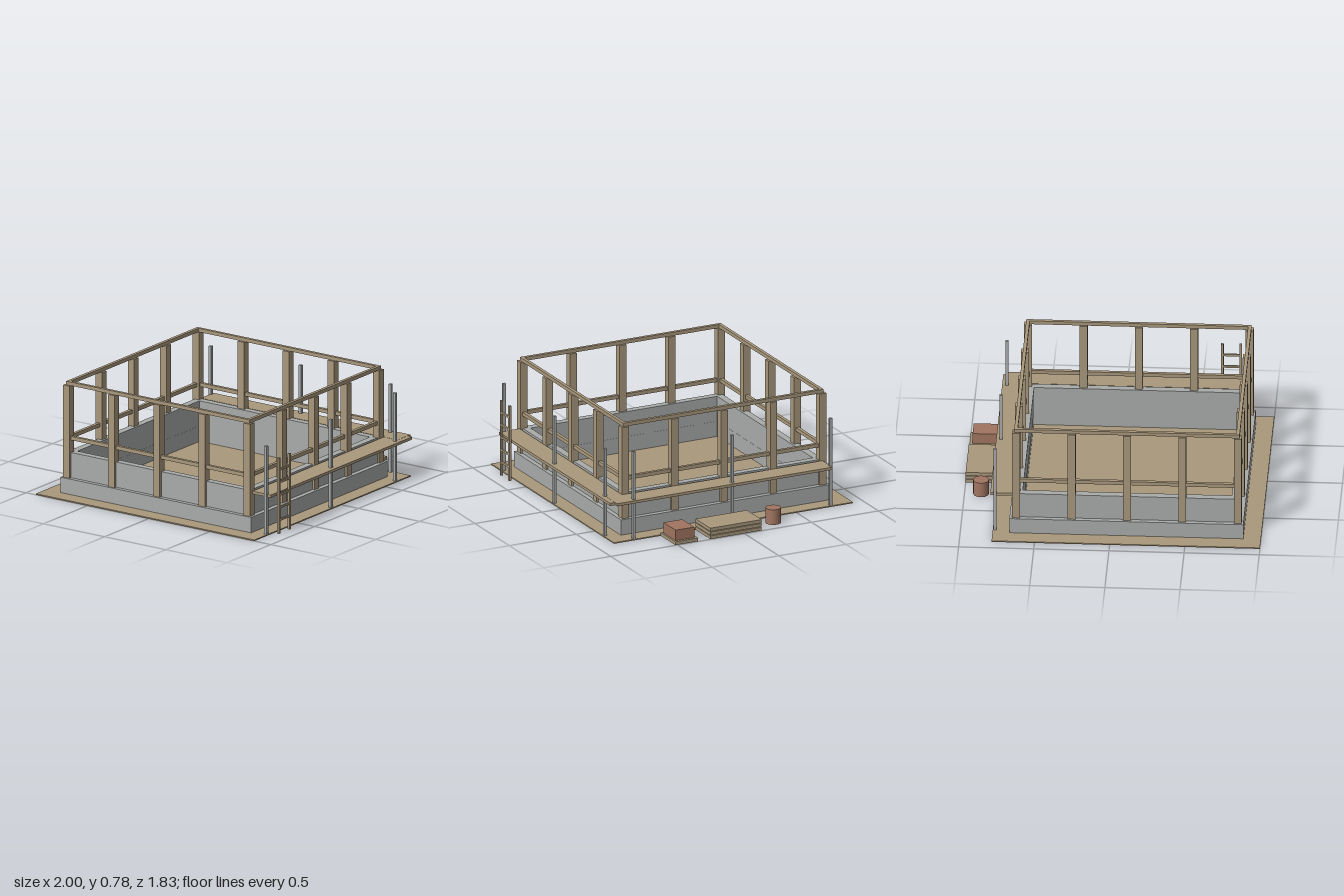
import * as THREE from 'three';

const timber = new THREE.MeshStandardMaterial({ color: 0xa9987c });
timber.name = 'timber';
const concrete = new THREE.MeshStandardMaterial({ color: 0xa9acaa });
concrete.name = 'concrete grey';
const brick = new THREE.MeshStandardMaterial({ color: 0xa17561 });
brick.name = 'brick red';

// Box given by its extents on each axis
function box(parent, name, mat, [x0, x1], [y0, y1], [z0, z1]) {
  const mesh = new THREE.Mesh(new THREE.BoxGeometry(x1 - x0, y1 - y0, z1 - z0), mat);
  mesh.position.set((x0 + x1) / 2, (y0 + y1) / 2, (z0 + z1) / 2);
  mesh.name = name;
  parent.add(mesh);
  return mesh;
}

// Rectangular ring wall, open in the middle
function ring(parent, name, mat, [x0, x1], [z0, z1], t, [y0, y1]) {
  const rect = (Type, d) => {
    const p = new Type();
    p.moveTo(x0 + d, -z1 + d);
    p.lineTo(x1 - d, -z1 + d);
    p.lineTo(x1 - d, -z0 - d);
    p.lineTo(x0 + d, -z0 - d);
    p.closePath();
    return p;
  };
  const shape = rect(THREE.Shape, 0);
  shape.holes.push(rect(THREE.Path, t));
  const geo = new THREE.ExtrudeGeometry(shape, { depth: y1 - y0, bevelEnabled: false });
  geo.rotateX(-Math.PI / 2);
  const mesh = new THREE.Mesh(geo, mat);
  mesh.position.y = y0;
  mesh.name = name;
  parent.add(mesh);
}

function group(parent, name) {
  const g = new THREE.Group();
  g.name = name;
  parent.add(g);
  return g;
}

export function createModel() {
  const model = new THREE.Group();
  model.name = 'buildingSite';

  // Ground and foundation
  box(model, 'ground', timber, [-1, 0.785], [0, 0.008], [-0.92, 0.865]);
  ring(model, 'footing', concrete, [-0.883, 0.673], [-0.803, 0.755], 0.082, [0.002, 0.115]);
  ring(model, 'lowWall', concrete, [-0.852, 0.638], [-0.772, 0.722], 0.05, [0.11, 0.29]);

  // Timber frame: posts on the four sides, then rails
  const frame = group(model, 'timberFrame');
  const xs = [-0.845, -0.476, -0.108, 0.26, 0.63];
  const zs = [-0.763, -0.395, -0.026, 0.342, 0.711];
  const h = 0.026;
  xs.forEach((x, i) => zs.forEach((z, j) => {
    if (i % 4 && j % 4) return;
    box(frame, 'post', timber, [x - h, x + h], [0.115, 0.756], [z - h, z + h]);
  }));
  ring(frame, 'topRail', timber, [-0.857, 0.642], [-0.775, 0.723], 0.023, [0.756, 0.781]);
  ring(frame, 'middleRail', timber, [-0.857, 0.642], [-0.775, 0.723], 0.023, [0.378, 0.404]);

  // Scaffold: two walkways on slim poles
  const scaffold = group(model, 'scaffold');
  box(scaffold, 'frontWalkway', timber, [-0.842, 0.77], [0.265, 0.284], [0.735, 0.887]);
  box(scaffold, 'rightWalkway', timber, [0.655, 0.802], [0.266, 0.285], [-0.76, 0.85]);
  const poles = [
    [-0.843, 0.85], [-0.107, 0.85], [0.627, 0.85],
    [0.77, 0.71], [0.77, -0.024], [0.77, -0.759],
  ];
  for (const [x, z] of poles) {
    box(scaffold, 'pole', concrete, [x - 0.01, x + 0.01], [0.004, 0.62], [z - 0.01, z + 0.01]);
  }

  // Ladder leaning at the front walkway
  const ladder = group(model, 'ladder');
  for (const x of [-0.782, -0.661]) {
    box(ladder, 'ladderRail', timber, [x, x + 0.017], [0.004, 0.53], [0.895, 0.912]);
  }
  for (let i = 0; i < 5; i++) {
    const y = 0.097 + i * 0.0875;
    box(ladder, 'rung', timber, [-0.77, -0.655], [y - 0.007, y + 0.007], [0.897, 0.91]);
  }

  // Stack of boards
  const boards = group(model, 'boardStack');
  for (let i = 0; i < 3; i++) {
    box(boards, 'board', timber, [0.787, 1], [0.002 + i * 0.027, 0.025 + i * 0.027], [-0.128, 0.256]);
  }

  // Bricks on a pallet
  const bricks = group(model, 'brickPallet');
  box(bricks, 'pallet', timber, [0.787, 1], [0.002, 0.025], [0.346, 0.517]);
  box(bricks, 'bricks', brick, [0.805, 0.98], [0.025, 0.099], [0.365, 0.505]);

  // Barrel
  const barrel = new THREE.Mesh(new THREE.CylinderGeometry(0.052, 0.052, 0.106, 24), brick);
  barrel.position.set(0.89, 0.055, -0.27);
  barrel.name = 'barrel';
  model.add(barrel);

  return model;
}
